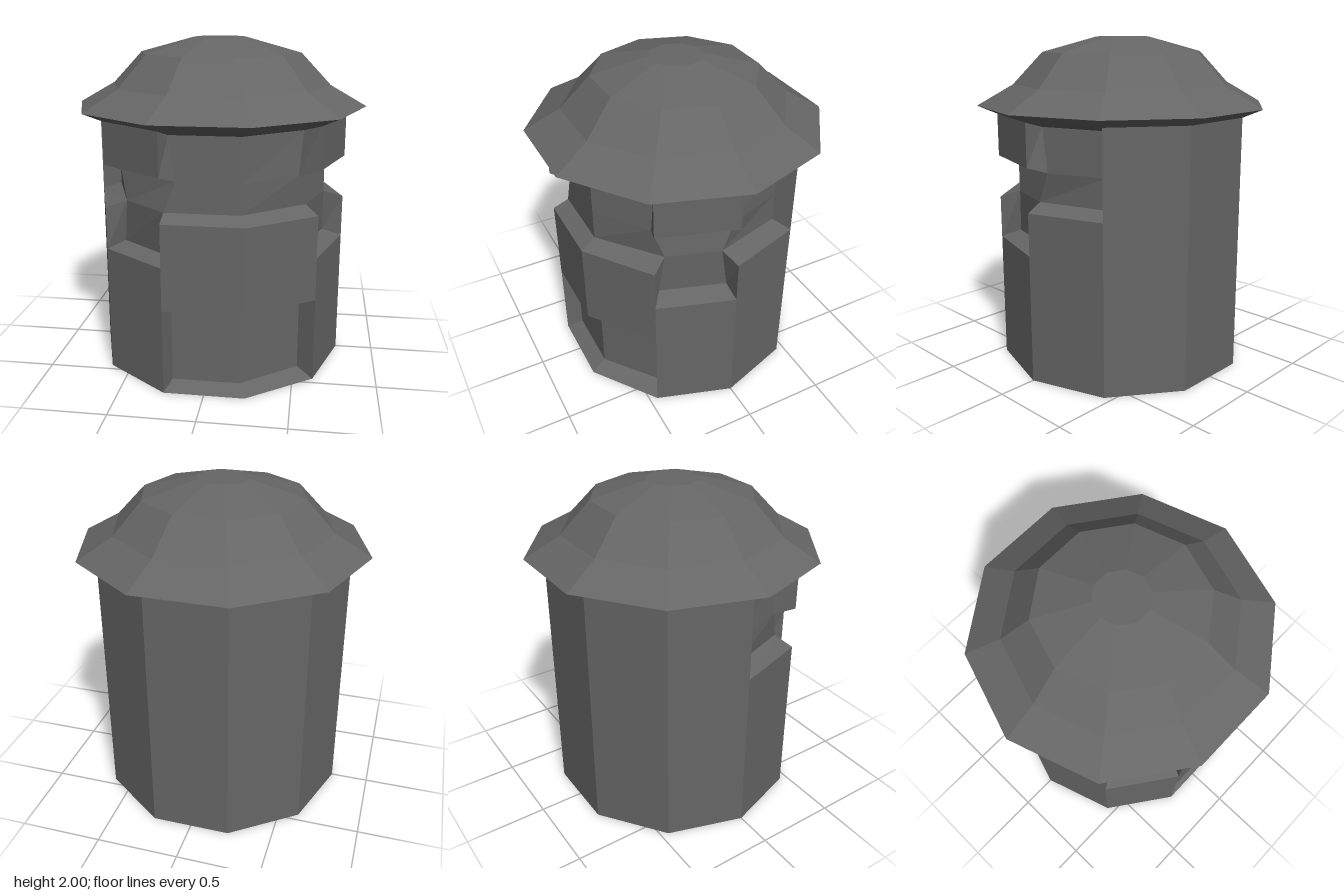
import * as THREE from 'three';

const SIDES = 10;
const OUTER_R = 0.77, INNER_R = 0.65;
const FRONT_Z = 0.635; // depth of the recessed front panel
// heights of the outer shell and of the recessed core at each band boundary
const OUTER_Y = [0, 0.515, 0.775, 1.03, 1.29, 1.545];
const INNER_Y = [0.04, 0.48, 0.81, 1.07, 1.25, 1.51];
// bands that are recessed on each face (face k spans 36k..36(k+1) degrees, from +x towards +z)
const RECESSED = { 0: [2, 3], 1: [0, 3, 4], 2: [0, 3, 4], 3: [2, 3], 4: [3, 4], 9: [3, 4] };
// corners where staggered recesses meet lean sideways
const LEAN = { 0: 1, 1: -1, 3: 1, 4: -1 };

const wrap = (k) => (k + SIDES) % SIDES;
const isRecessed = (k, band) => (RECESSED[wrap(k)] || []).includes(band);

function outer(k, level) {
  const a = (k / SIDES) * Math.PI * 2;
  return [OUTER_R * Math.cos(a), OUTER_Y[level], OUTER_R * Math.sin(a)];
}

function inner(k, level) {
  const a = (k / SIDES) * Math.PI * 2;
  const side = level === 3 ? 1 : level === 4 ? -1 : 0;
  const t = 0.037 * side * (LEAN[wrap(k)] || 0);
  const isFront = k === 2 || k === 3;
  return [
    INNER_R * Math.cos(a) - t * Math.sin(a),
    INNER_Y[level],
    isFront ? FRONT_Z : INNER_R * Math.sin(a) + t * Math.cos(a),
  ];
}

function towerGeometry() {
  const pos = [];
  const quad = (a, b, c, d) => pos.push(...a, ...b, ...c, ...a, ...c, ...d);
  const bands = OUTER_Y.length - 1;

  for (let k = 0; k < SIDES; k++) {
    // wall panels, flush or recessed
    for (let s = 0; s < bands; s++) {
      const p = isRecessed(k, s) ? inner : outer;
      quad(p(k + 1, s), p(k, s), p(k, s + 1), p(k + 1, s + 1));

      // upright reveals between a flush panel and a recessed neighbour
      const here = isRecessed(k, s), before = isRecessed(k - 1, s);
      if (here && !before) quad(inner(k, s), outer(k, s), outer(k, s + 1), inner(k, s + 1));
      if (before && !here) quad(outer(k, s), inner(k, s), inner(k, s + 1), outer(k, s + 1));
    }
    // sloping sills and lintels
    for (let l = 0; l <= bands; l++) {
      const below = isRecessed(k, l - 1), above = isRecessed(k, l);
      if (above && !below) quad(outer(k + 1, l), outer(k, l), inner(k, l), inner(k + 1, l));
      if (below && !above) quad(inner(k + 1, l), inner(k, l), outer(k, l), outer(k + 1, l));
    }
  }

  const g = new THREE.BufferGeometry();
  g.setAttribute('position', new THREE.Float32BufferAttribute(pos, 3));
  g.computeVertexNormals();
  return g;
}

export function createModel() {
  const group = new THREE.Group();
  group.name = 'domedTower';
  const material = new THREE.MeshStandardMaterial({ color: 0x666666, flatShading: true });
  const add = (name, geometry) => {
    const mesh = new THREE.Mesh(geometry, material);
    mesh.name = name;
    group.add(mesh);
  };

  // ten-sided body with door, windows and ledges
  add('towerWall', towerGeometry());
  add('towerFloor', new THREE.CircleGeometry(OUTER_R, SIDES).rotateX(Math.PI / 2));

  // faceted dome with flared eaves
  const profile = [
    [0.77, 1.545], [0.888, 1.596], [0.67, 1.72], [0.49, 1.91], [0.16, 2], [0, 2],
  ].map(([r, y]) => new THREE.Vector2(r, y));
  add('domeRoof', new THREE.LatheGeometry(profile, SIDES, Math.PI / 2));

  return group;
}
